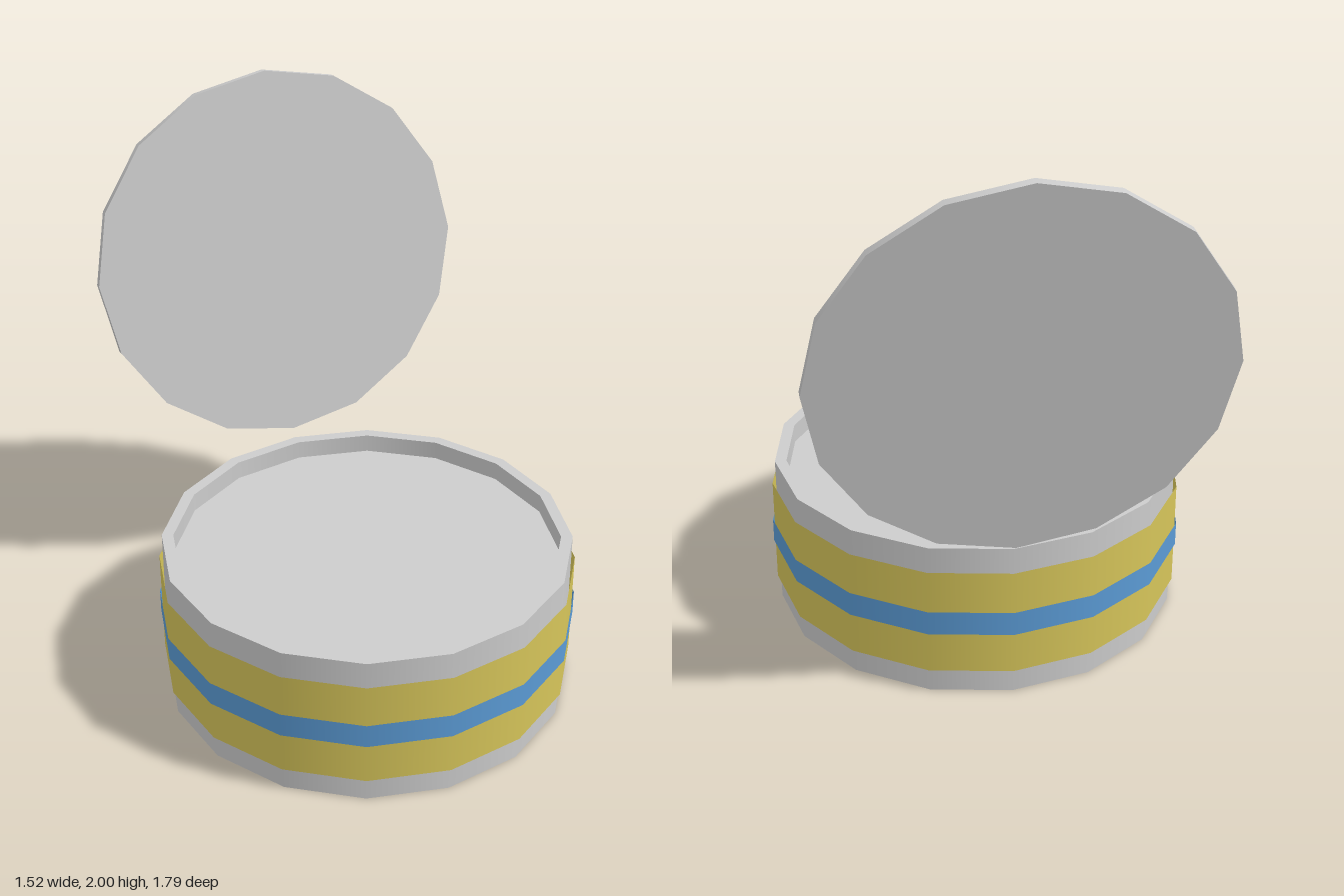
import * as THREE from 'three';
import { mergeGeometries } from 'three/addons/utils/BufferGeometryUtils.js';

const SIDES = 16;

// Turn each profile segment separately so the rims stay sharp and the walls smooth
function turned(profile) {
  const points = profile.map(([r, y]) => new THREE.Vector2(r, y));
  return mergeGeometries(points.slice(1).map((p, i) =>
    new THREE.LatheGeometry([points[i], p], SIDES)));
}

export function createModel() {
  const metal = new THREE.MeshStandardMaterial({ name: 'tin grey', color: 0xcccccc });
  const yellow = new THREE.MeshStandardMaterial({ name: 'label yellow', color: 0xd6c55a, side: THREE.DoubleSide });
  const blue = new THREE.MeshStandardMaterial({ name: 'stripe blue', color: 0x5b9bd5, side: THREE.DoubleSide });

  const model = new THREE.Group();
  model.name = 'openTin';
  const add = (name, parent, geometry, material, y = 0) => {
    const mesh = new THREE.Mesh(geometry, material);
    mesh.name = name;
    mesh.position.y = y;
    parent.add(mesh);
    return mesh;
  };

  // Can body with a raised rim around the sunken top
  const can = new THREE.Group();
  can.name = 'can';
  can.position.z = 0.134;
  model.add(can);
  add('canBody', can, turned([[0, 0], [0.742, 0], [0.742, 0.58], [0.7, 0.58], [0.7, 0.51], [0, 0.51]]), metal);

  // Paper label and its stripe, open sleeves around the body
  const sleeve = (r, h) => new THREE.CylinderGeometry(r, r, h, SIDES, 1, true);
  add('label', can, sleeve(0.755, 0.4), yellow, 0.29);
  add('labelStripe', can, sleeve(0.761, 0.09), blue, 0.29);

  // Lid standing behind the can, leaning back
  const lid = add('lid', model, new THREE.CylinderGeometry(0.703, 0.703, 0.03, SIDES), metal, 1.305);
  lid.position.z = -0.757;
  lid.rotation.x = THREE.MathUtils.degToRad(80);

  return model;
}
